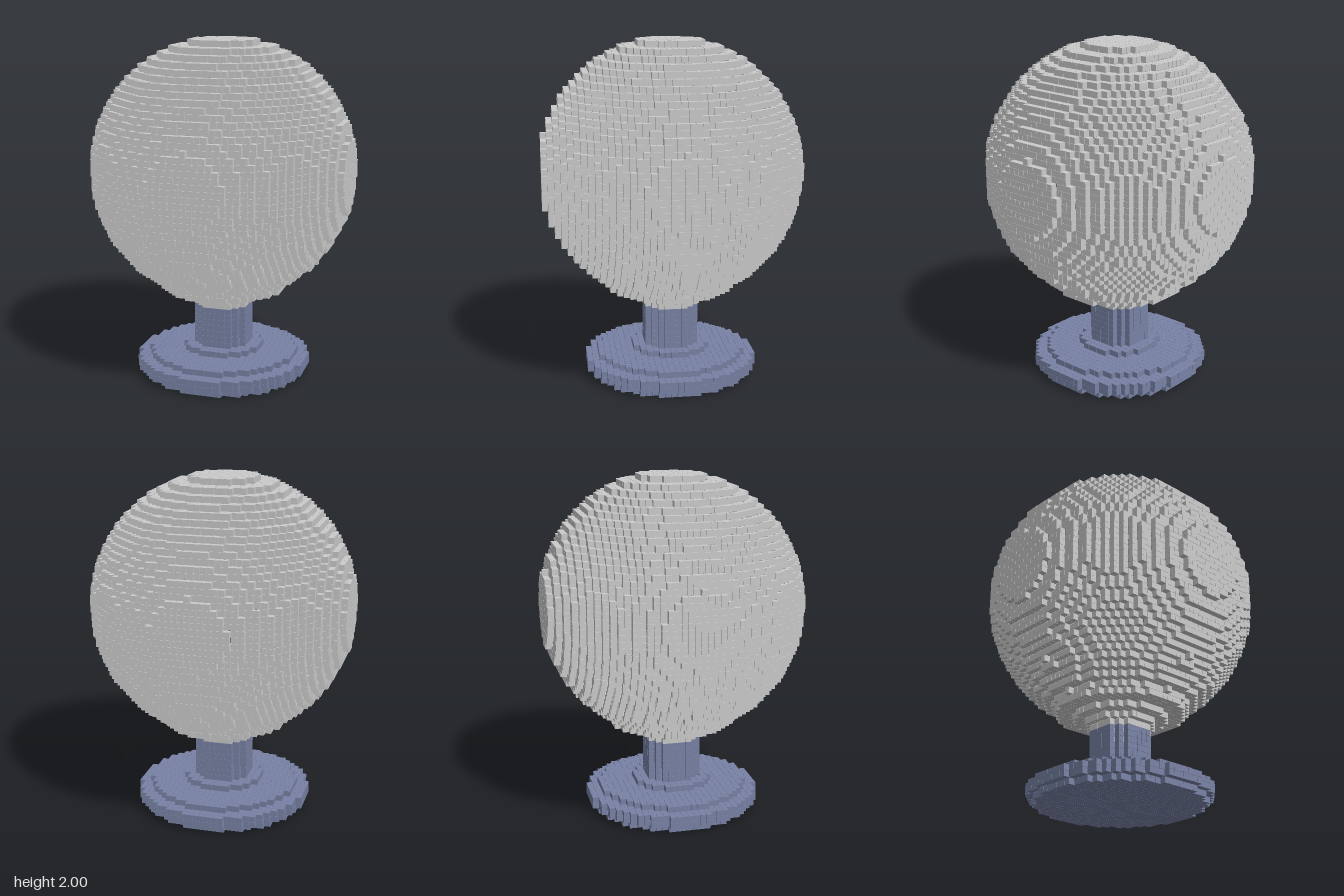
import * as THREE from 'three';
import { mergeGeometries } from 'three/addons/utils/BufferGeometryUtils.js';

const ROWS = 57;          // layers of cubes from floor to top
const V = 2 / ROWS;       // cube pitch
const CUBE = V * 0.97;    // cube edge, leaving a fine seam
const HALF = 22;          // half extent of the grid in cells

// squared radius, in cells, of a round layer that reaches n cells from the axis
const disc = (n) => (n + 0.5) ** 2;

// squared radius of each layer of the stand: foot, step, then post
function standLayer(row) {
  if (row < 0 || row > 11) return -1;
  const steps = [13, 14, 14, 12, 6];
  return disc(row < steps.length ? steps[row] : 4);
}

// squared radius of each layer of the ball, with a short flare under it
function ballLayer(row) {
  if (row < 12 || row >= ROWS) return -1;
  const flare = [4, 5, 7, 10];
  if (row < 16) return disc(flare[row - 12]);
  return 479 - (row - 35 + 0.1) ** 2;
}

// cubes for every cell that touches the open air
function cubeShell(layer, color, name) {
  const solid = (x, y, z) => x * x + z * z <= Math.max(standLayer(y), ballLayer(y));
  const box = new THREE.BoxGeometry(CUBE, CUBE, CUBE);
  const cubes = [];
  for (let y = 0; y < ROWS; y++) {
    for (let x = -HALF; x <= HALF; x++) {
      for (let z = -HALF; z <= HALF; z++) {
        if (x * x + z * z > layer(y)) continue;
        const buried = solid(x + 1, y, z) && solid(x - 1, y, z)
          && solid(x, y + 1, z) && solid(x, y - 1, z)
          && solid(x, y, z + 1) && solid(x, y, z - 1);
        if (!buried) cubes.push(box.clone().translate(x * V, (y + 0.5) * V, z * V));
      }
    }
  }
  const mesh = new THREE.Mesh(
    mergeGeometries(cubes),
    new THREE.MeshStandardMaterial({ color })
  );
  mesh.name = name;
  return mesh;
}

export function createModel() {
  const model = new THREE.Group();
  model.name = 'ballOnStand';
  model.add(cubeShell(standLayer, 0x7882a5, 'stand'));
  model.add(cubeShell(ballLayer, 0xcccccc, 'ball'));
  return model;
}
